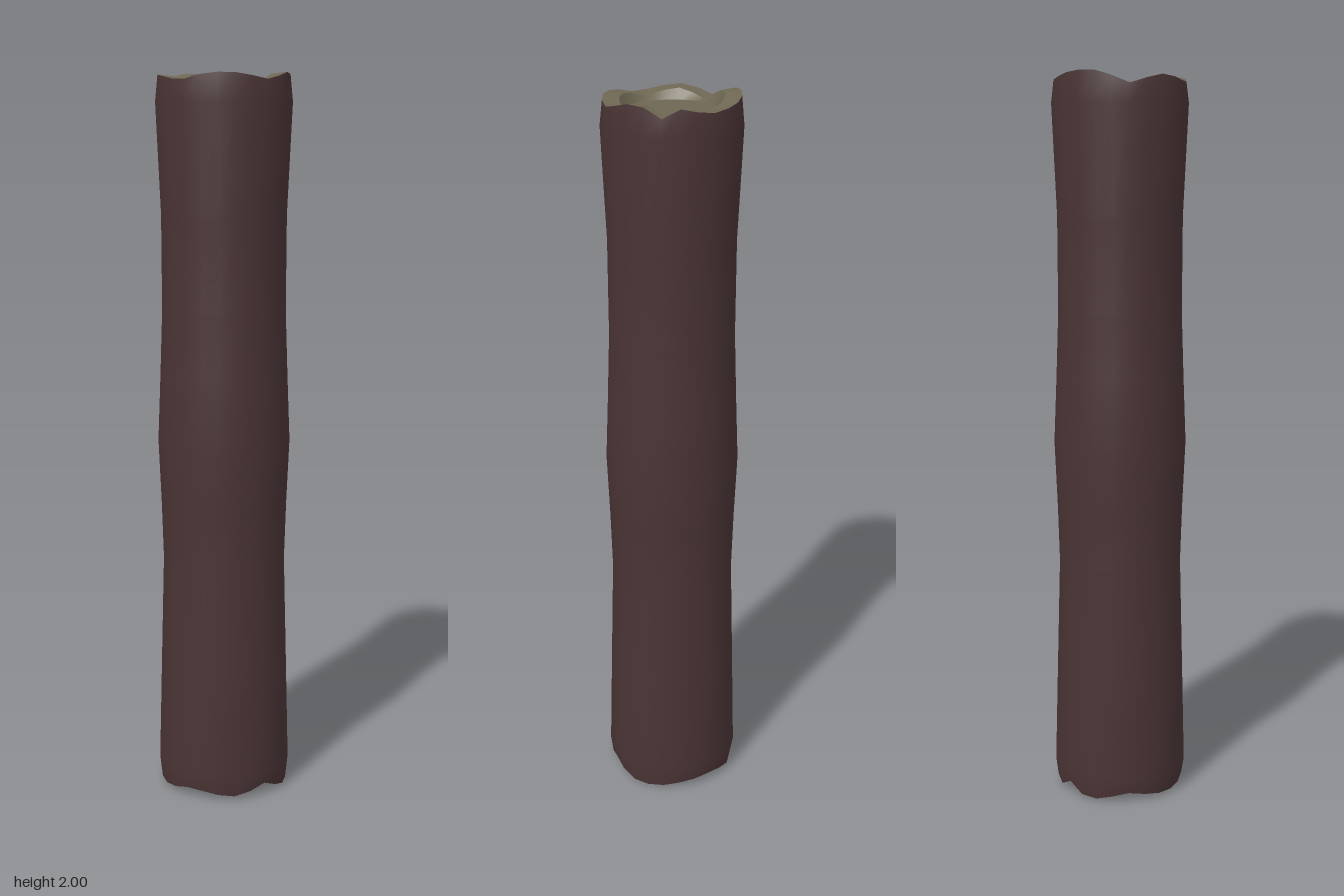
import * as THREE from 'three';

const N = 24;

// Height of the broken rim, one step every 15 degrees from +x towards +z, in thousandths below 2
const notches = [15, 25, 17, 10, 9, 14, 25, 23, 15, 10, 20, 34, 15, 1, 0, 5, 14, 20, 25, 20, 10, 34, 8, 4];
const rimY = notches.map((n) => 2 - n / 1000);
// The lower end is the upper end turned half over about z
const lowRimY = rimY.map((_, j) => 2 - rimY[(N / 2 - j + N) % N]);

// Skin over closed rings; each ring is [radius, heights], where heights is a number or one value per step
function loft(name, rings, material) {
  const pos = [], index = [];
  rings.forEach(([r, y], i) => {
    for (let j = 0; j < N; j++) {
      const a = (j / N) * Math.PI * 2;
      pos.push(r * Math.cos(a), Array.isArray(y) ? y[j] : y, r * Math.sin(a));
      if (i === rings.length - 1) continue;
      const k = (j + 1) % N;
      const p = i * N + j, q = i * N + k;
      index.push(p, p + N, q, q, p + N, q + N);
    }
  });
  const g = new THREE.BufferGeometry();
  g.setAttribute('position', new THREE.Float32BufferAttribute(pos, 3));
  g.setIndex(index);
  g.computeVertexNormals();
  const mesh = new THREE.Mesh(g, material);
  mesh.name = name;
  return mesh;
}

export function createModel() {
  const bark = new THREE.MeshStandardMaterial({ color: 0x4a3435 });
  const wood = new THREE.MeshStandardMaterial({ color: 0x6e6753 });
  bark.name = 'dark bark';
  wood.name = 'pale wood';

  const log = new THREE.Group();
  log.name = 'log';

  // Bark: slightly swollen at both ends and in the middle
  log.add(loft('bark', [
    [0.179, lowRimY], [0.186, 0.07], [0.179, 0.35], [0.171, 0.66], [0.176, 0.82], [0.184, 1.0],
    [0.177, 1.18], [0.171, 1.36], [0.172, 1.62], [0.186, 1.92], [0.179, rimY],
  ], bark));

  // Cut ends: jagged rim, sloping recess wall and sunken heartwood
  const innerY = rimY.map((y) => Math.max(y - 0.004, 1.963));
  for (const end of ['top', 'bottom']) {
    const cut = new THREE.Group();
    cut.name = end + 'End';
    cut.add(
      loft('rim', [[0.179, rimY], [0.135, innerY]], wood),
      loft('recessWall', [[0.135, innerY], [0.118, 1.958]], wood),
    );
    const heart = new THREE.Mesh(new THREE.CircleGeometry(0.118, N), wood);
    heart.name = 'heartwood';
    heart.rotation.x = -Math.PI / 2;
    heart.position.y = 1.958;
    cut.add(heart);
    if (end === 'bottom') {
      cut.rotation.z = Math.PI;
      cut.position.y = 2;
    }
    log.add(cut);
  }
  return log;
}
